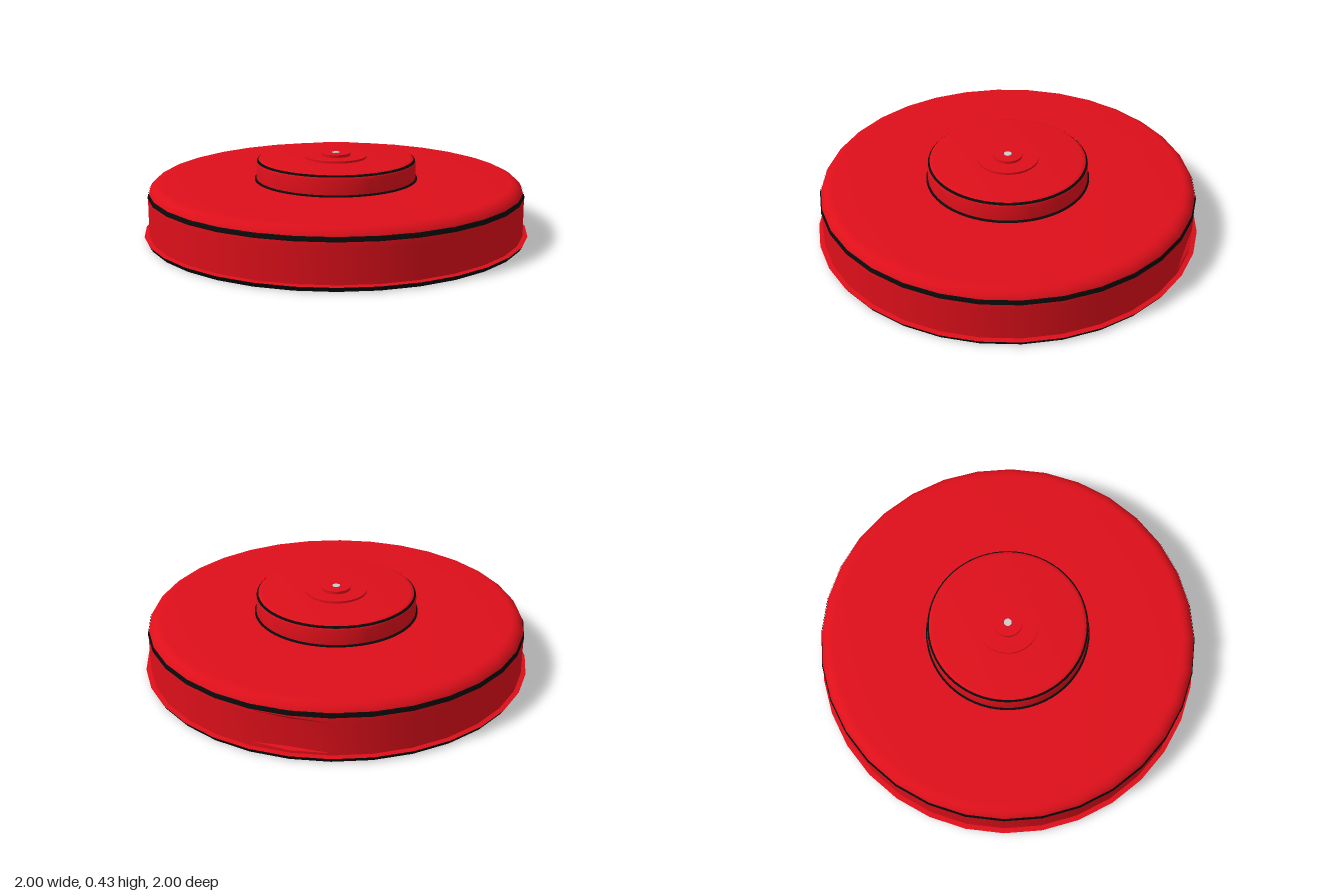
import * as THREE from 'three';
import { toCreasedNormals } from 'three/addons/utils/BufferGeometryUtils.js';

const red = new THREE.MeshStandardMaterial({ color: 0xdd0f1a });
const black = new THREE.MeshStandardMaterial({ color: 0x0a0a0a });
const grey = new THREE.MeshStandardMaterial({ color: 0xcccccc });

// Points on an arc in the profile plane, angles in degrees
function arc(cx, cy, radius, from, to, steps) {
  return Array.from({ length: steps + 1 }, (_, i) => {
    const a = THREE.MathUtils.degToRad(from + (to - from) * i / steps);
    return [cx + radius * Math.cos(a), cy + radius * Math.sin(a)];
  });
}

// Revolve a profile running from the bottom up the outside
function turned(name, profile, material, segments, reshape) {
  const geo = new THREE.LatheGeometry(profile.map(([r, y]) => new THREE.Vector2(r, y)), segments);
  if (reshape) reshape(geo.attributes.position);
  const mesh = new THREE.Mesh(toCreasedNormals(geo, 0.6), material);
  mesh.name = name;
  return mesh;
}

// Shallow flat at the back of the wall
function flattenBack(pos) {
  for (let i = 0; i < pos.count; i++) {
    const y = pos.getY(i);
    if (y > 0.045 && y < 0.205) pos.setZ(i, Math.max(pos.getZ(i), -0.956));
  }
}

export function createModel() {
  const group = new THREE.Group();
  group.add(
    // Base flange with its dark edge
    turned('baseFlange', [[0, 0], [0.985, 0]], red, 32).rotateX(0),
    turned('flangeEdge', [[0.985, 0], [1, 0.024]], black, 32),
    turned('flangeTop', [[1, 0.024], [0.97, 0.028]], red, 32),

    // Main drum with a rounded shoulder
    turned('drum', [[0.975, 0.026], [0.975, 0.04], [0.975, 0.05], [0.975, 0.2],
      ...arc(0.905, 0.22, 0.07, 0, 90, 8), [0.4, 0.29], [0, 0.29]], red, 32, flattenBack),
    turned('shoulderBand', arc(0.905, 0.22, 0.073, 6, 25, 3), black, 32),

    // Raised hub
    turned('hub', [[0.415, 0.288], ...arc(0.385, 0.37, 0.03, 0, 90, 6), [0, 0.4]], red, 64),
    turned('hubBaseBand', [[0.424, 0.289], [0.424, 0.294], [0.414, 0.299]], black, 64),
    turned('hubTopBand', arc(0.385, 0.37, 0.032, 32, 56, 3), black, 64),

    // Stepped centre discs and pin
    turned('centreDisc', [[0.16, 0.399], [0.16, 0.411], [0, 0.411]], red, 48),
    turned('centreCap', [[0.075, 0.41], [0.075, 0.425], [0, 0.425]], red, 32),
    turned('centrePin', [[0.02, 0.424], [0.02, 0.427], [0, 0.427]], grey, 16),
  );
  return group;
}
